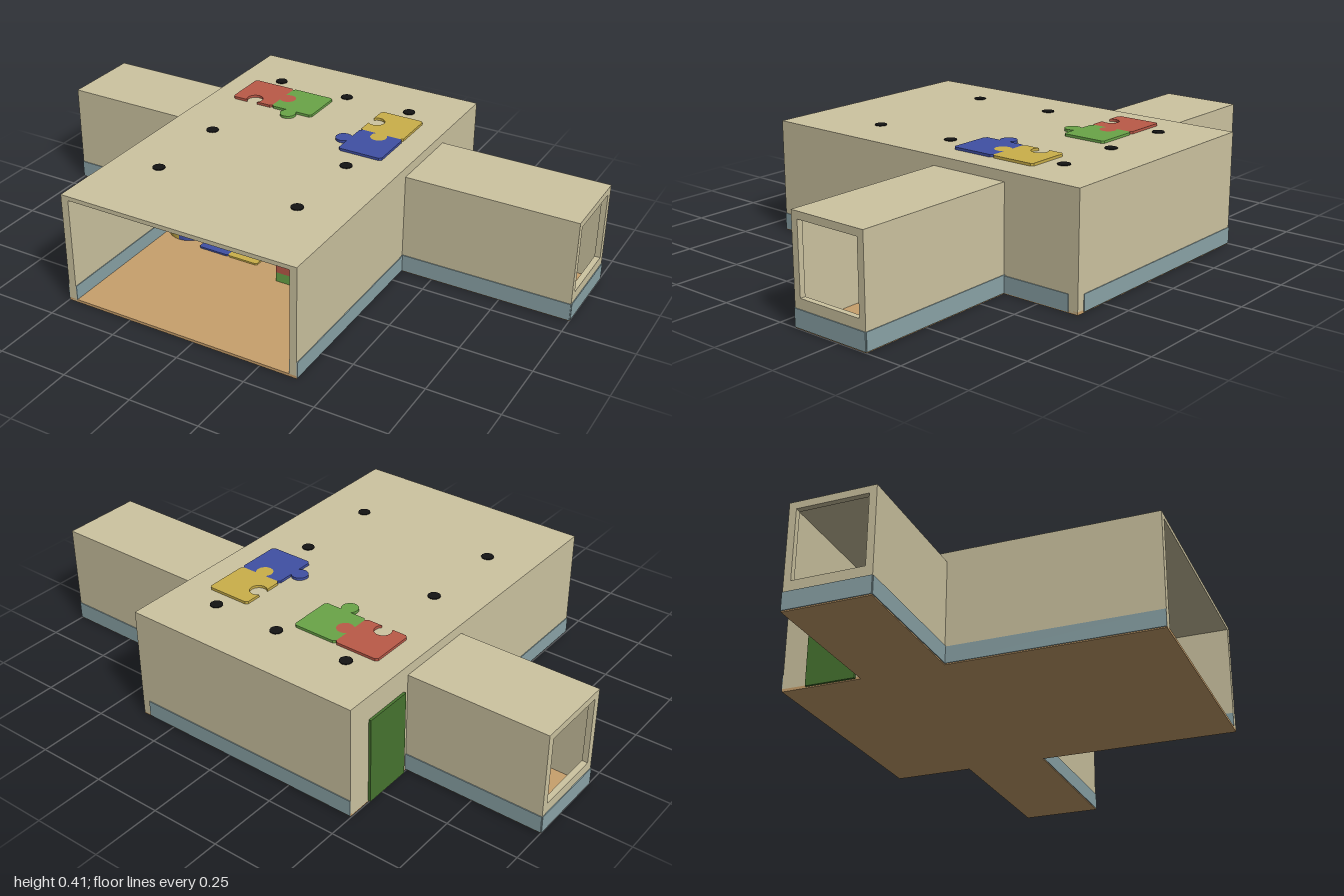
import * as THREE from 'three';

const flat = (name, color) => Object.assign(new THREE.MeshStandardMaterial({ color }), { name });

export function createModel() {
  const beige = flat('beige wall', 0xcdc4a1);
  const slate = flat('slate blue trim', 0x8ba4a8);
  const tan = flat('tan floor', 0xc8a06c);
  const red = flat('foam red', 0xbb5a48);
  const green = flat('foam green', 0x6aa548);
  const yellow = flat('foam yellow', 0xcbb04a);
  const blue = flat('foam blue', 0x4050a4);
  const doorGreen = flat('door green', 0x47752f);
  const black = flat('black', 0x141414);

  const model = new THREE.Group();
  model.name = 'playroom';
  const group = (name) => {
    const g = new THREE.Group();
    g.name = name;
    model.add(g);
    return g;
  };
  const add = (parent, name, geo, mat) => {
    const m = new THREE.Mesh(geo, mat);
    m.name = name;
    parent.add(m);
    return m;
  };
  // Box given by its minimum and maximum corners
  const box = (parent, name, mat, x0, x1, y0, y1, z0, z1) => {
    const m = add(parent, name, new THREE.BoxGeometry(x1 - x0, y1 - y0, z1 - z0), mat);
    m.position.set((x0 + x1) / 2, (y0 + y1) / 2, (z0 + z1) / 2);
    return m;
  };
  const rect = (S, a0, a1, b0, b1) => {
    const s = new S();
    s.moveTo(a0, b0); s.lineTo(a1, b0); s.lineTo(a1, b1); s.lineTo(a0, b1); s.closePath();
    return s;
  };
  // Wall facing along x, with one rectangular opening [z0, z1, y0, y1]
  const sideWall = (parent, name, x0, x1, outer, hole) => {
    const s = rect(THREE.Shape, ...outer);
    s.holes.push(rect(THREE.Path, ...hole));
    const g = new THREE.ExtrudeGeometry(s, { depth: x1 - x0, bevelEnabled: false });
    g.rotateY(-Math.PI / 2).translate(x1, 0, 0);
    return add(parent, name, g, beige);
  };

  const L = -0.497, R = 0.385, F = 0.655, B = -0.655, TOP = 0.405;
  const WF = -0.07, WB = -0.365, WTOP = 0.37, Y0 = 0.004;
  const P = 0.003, BAND = 0.062;

  // Main hall, open at the front
  const hall = group('mainHall');
  box(hall, 'hallFloor', tan, L, R, 0, 0.01, B, F);
  box(hall, 'hallRoof', beige, L, R, TOP - 0.015, TOP, B, F);
  box(hall, 'backWall', beige, L, R, Y0, TOP - 0.015, B, B + 0.03);
  const opening = [-0.34, -0.095, 0.012, 0.345];
  const wallRect = [B + 0.03, F, Y0, TOP - 0.015];
  sideWall(hall, 'rightWall', L, L + 0.028, wallRect, opening);
  sideWall(hall, 'leftWall', R - 0.025, R, wallRect, opening);
  box(hall, 'backTrim', slate, L, R - 0.03, Y0, BAND, B - P, B);
  for (const [name, x0, x1] of [['right', L - P, L], ['left', R, R + P]]) {
    box(hall, name + 'FrontTrim', slate, x0, x1, Y0, BAND, WF, F);
    if (name === 'left') box(hall, 'leftBackTrim', slate, x0, x1, Y0, BAND, -0.62, WB);
  }
  for (const x of [L + 0.028, R - 0.025 - P]) {
    box(hall, 'innerTrim', slate, x, x + P, 0.01, BAND, opening[1], F);
    box(hall, 'innerBackTrim', slate, x, x + P, 0.01, BAND, B + 0.03, opening[0]);
  }
  box(hall, 'sideDoor', doorGreen, L - 0.009, L, Y0, 0.318, -0.565, -0.385);

  // Side tunnels with a window in the end
  for (const [name, x0, x1, e0, e1] of [
    ['rightTunnel', -1, L, -1, -0.98], ['leftTunnel', R, 1, 0.98, 1]]) {
    const t = group(name);
    const out = x0 < L ? -1 : 1;
    const a = out < 0 ? e1 : x0, b = out < 0 ? x1 : e0;
    box(t, 'tunnelFloor', tan, x0, x1, 0, 0.01, WB, WF);
    box(t, 'tunnelRoof', beige, a, b, WTOP - 0.015, WTOP, WB, WF);
    box(t, 'tunnelFrontWall', beige, a, b, Y0, WTOP - 0.015, WF - 0.015, WF);
    box(t, 'tunnelBackWall', beige, a, b, Y0, WTOP - 0.015, WB, WB + 0.015);
    sideWall(t, 'windowEnd', e0, e1, [WB, WF, Y0, WTOP], [-0.34, -0.095, 0.1, 0.345]);
    box(t, 'frontTrim', slate, x0, x1, Y0, 0.065, WF, WF + P);
    box(t, 'backTrim', slate, x0, x1, Y0, 0.065, WB - P, WB);
    const xe = out < 0 ? -1 - P : 1;
    box(t, 'endTrim', slate, xe, xe + P, Y0, 0.065, WB, WF);
  }

  // Round lamps set through the roof
  const lamps = group('roofLamps');
  for (const [x, z] of [[-0.33, -0.46], [-0.05, -0.46], [0.205, -0.46],
    [-0.33, 0.017], [0.205, 0.017], [-0.33, 0.343], [0.205, 0.343]]) {
    add(lamps, 'lamp', new THREE.CylinderGeometry(0.022, 0.022, 0.022, 12), black)
      .position.set(x, TOP - 0.008, z);
  }

  // Jigsaw piece: edges are [front, right, back, left], 1 tab, -1 notch, 0 straight
  const jigsaw = (size, edges, depth) => {
    const h = size / 2, r = size * 0.18, c = size * 0.13, beta = Math.asin(c / r);
    const pts = [];
    edges.forEach((s, k) => {
      const q = k * Math.PI / 2, C = Math.cos(q), S = Math.sin(q);
      const put = (u, v) => pts.push(new THREE.Vector2(u * C + (h + v) * S, u * S - (h + v) * C));
      put(-h * 0.9, 0);
      if (s) {
        for (let i = 0; i <= 12; i++) {
          const a = Math.PI + beta - (Math.PI + 2 * beta) * i / 12;
          put(r * Math.cos(a), s * (c + r * Math.sin(a)));
        }
      }
      put(h * 0.9, 0);
    });
    const g = new THREE.ExtrudeGeometry(new THREE.Shape(pts), { depth, bevelEnabled: false });
    return g.rotateX(-Math.PI / 2);
  };
  const roofPuzzle = group('roofPuzzle');
  for (const [name, mat, x, z, edges] of [
    ['redPiece', red, -0.327, -0.325, [-1, 1, 0, 0]],
    ['greenPiece', green, -0.162, -0.325, [1, 0, 0, -1]],
    ['yellowPiece', yellow, 0.208, -0.318, [1, 0, 0, -1]],
    ['bluePiece', blue, 0.208, -0.153, [0, 0, -1, 1]]]) {
    add(roofPuzzle, name, jigsaw(0.165, edges, 0.009), mat).position.set(x, TOP, z);
  }

  // Floor mats and a thin panel on the right wall
  const mats = group('floorMats');
  add(mats, 'blueMat', jigsaw(0.12, [0, -1, 0, 0], 0.006), blue).position.set(-0.24, 0.01, 0.11);
  add(mats, 'yellowMat', jigsaw(0.12, [0, 0, 0, 1], 0.006), yellow).position.set(-0.12, 0.01, 0.11);
  const panel = group('wallPanel');
  [yellow, green, red, red].forEach((mat, i) => {
    box(panel, 'panelTile', mat, L + 0.028, L + 0.037, 0.07 + i * 0.065, 0.13 + i * 0.065, 0.02, 0.14);
  });

  // Ball pool with two half rims
  const pool = group('ballPool');
  pool.position.set(-0.395, 0.01, 0.08);
  [[blue, -Math.PI / 2], [yellow, Math.PI / 2]].forEach(([mat, a]) => {
    const s = new THREE.Shape();
    s.absarc(0, 0, 0.078, a, a + Math.PI, false);
    s.absarc(0, 0, 0.062, a + Math.PI, a, true);
    const g = new THREE.ExtrudeGeometry(s, { depth: 0.036, bevelEnabled: false, curveSegments: 16 });
    add(pool, 'poolRim', g.rotateX(-Math.PI / 2), mat);
  });
  for (let i = 0; i < 36; i++) {
    const r = 0.054 * Math.sqrt((i + 0.5) / 36), a = i * 2.39996;
    add(pool, 'ball', new THREE.SphereGeometry(0.009, 8, 6), [yellow, blue, yellow, black][i % 4])
      .position.set(r * Math.cos(a), 0.03, r * Math.sin(a));
  }

  // Soft play blocks
  const blocks = group('softBlocks');
  box(blocks, 'greenBlock', green, 0.05, 0.11, 0.01, 0.045, 0.13, 0.22);
  box(blocks, 'redBlock', red, 0.05, 0.11, 0.045, 0.088, 0.13, 0.22);
  box(blocks, 'blueBlock', blue, 0.065, 0.19, 0.06, 0.1, 0.03, 0.12);
  box(blocks, 'yellowBlock', yellow, 0.065, 0.19, 0.01, 0.06, 0.03, 0.12);
  box(blocks, 'redCube', red, 0.25, 0.335, 0.01, 0.065, 0.14, 0.22);
  box(blocks, 'greenCap', green, 0.24, 0.34, 0.01, 0.075, 0.08, 0.14);
  [[green, 0.185, 0.14], [yellow, 0.165, 0.17], [red, 0.15, 0.2]].forEach(([mat, x, z], i) => {
    const roll = add(blocks, 'foamRoll', new THREE.CylinderGeometry(0.036 - i * 0.004, 0.036 - i * 0.004, 0.035, 20), mat);
    roll.rotation.x = Math.PI / 2;
    roll.position.set(x, 0.046 - i * 0.004, z);
  });

  // Ladder beside the left wall
  const ladder = group('ladder');
  box(ladder, 'ladderRail', red, 0.265, 0.285, 0.01, 0.23, 0.09, 0.11).rotation.z = -0.07;
  box(ladder, 'ladderRail', red, 0.337, 0.356, 0.01, 0.23, 0.09, 0.11);
  [[blue, 0.2], [green, 0.16], [blue, 0.118], [yellow, 0.08]].forEach(([mat, y]) => {
    box(ladder, 'rung', mat, 0.28, 0.345, y - 0.006, y + 0.006, 0.094, 0.106);
  });
  return model;
}
